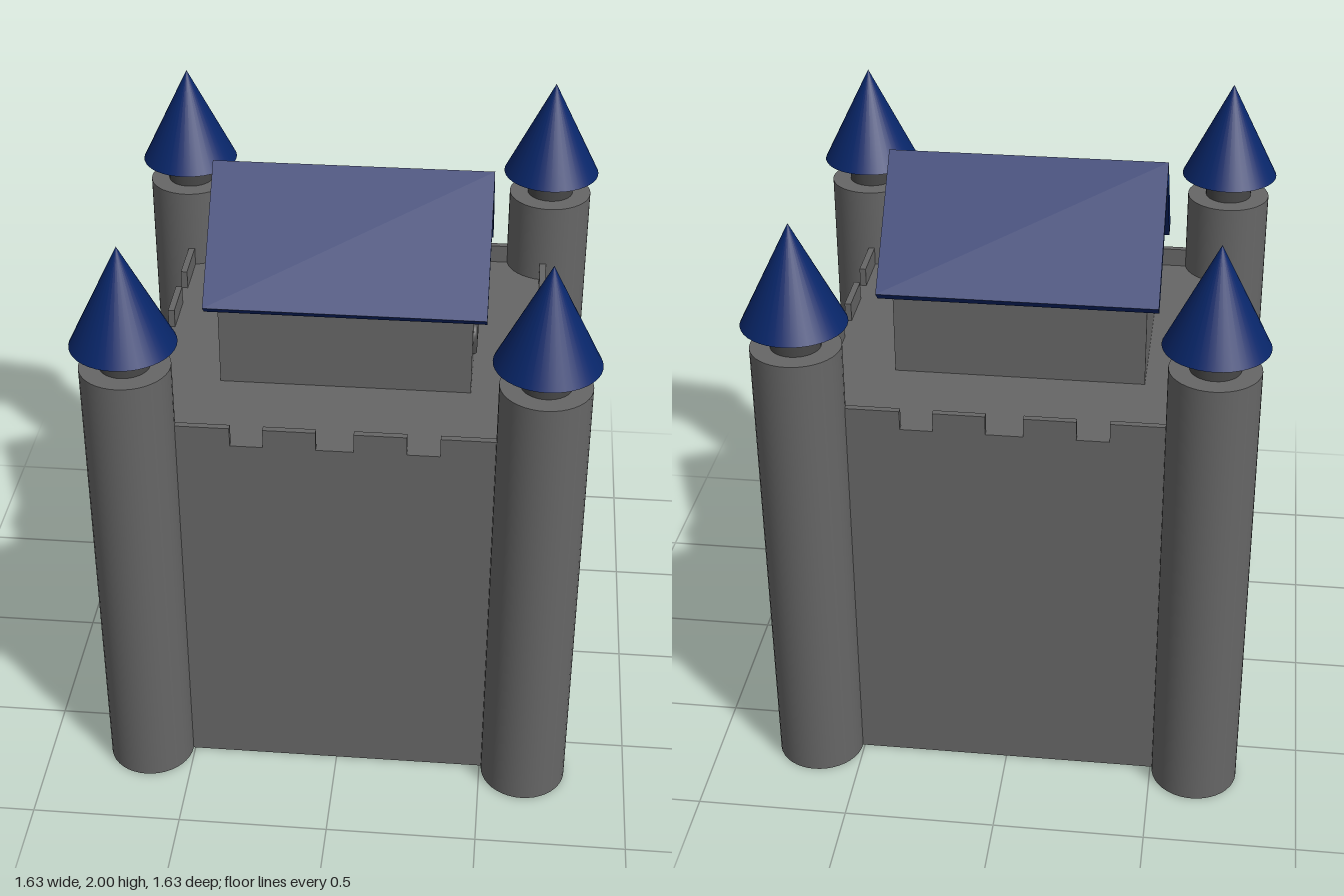
import * as THREE from 'three';

const stone = new THREE.MeshStandardMaterial({ color: 0x666666 });
const darkStone = new THREE.MeshStandardMaterial({ color: 0x474747 });
const roofBlue = new THREE.MeshStandardMaterial({ color: 0x08266a });
const wood = new THREE.MeshStandardMaterial({ color: 0x39230a });
const glass = new THREE.MeshStandardMaterial({ color: 0x464688 });

const HALF = 0.648;   // half width of the keep
const WALL_TOP = 1.3;

function add(parent, name, geometry, material, x = 0, y = 0, z = 0) {
  const mesh = new THREE.Mesh(geometry, material);
  mesh.name = name;
  mesh.position.set(x, y, z);
  parent.add(mesh);
  return mesh;
}

// Extrude a (z, y) outline along +x, starting at x = 0
function extrudeX(shape, depth) {
  const geometry = new THREE.ExtrudeGeometry(shape, { depth, bevelEnabled: false, curveSegments: 16 });
  return geometry.rotateY(Math.PI / 2);
}

function polygon(points) {
  return new THREE.Shape(points.map(([x, y]) => new THREE.Vector2(x, y)));
}

function createTower(x, z) {
  const tower = new THREE.Group();
  tower.name = 'cornerTower';
  tower.position.set(x, 0, z);
  add(tower, 'towerShaft', new THREE.CylinderGeometry(0.144, 0.144, 1.585, 40), stone, 0, 0.7925, 0);
  add(tower, 'towerNeck', new THREE.CylinderGeometry(0.08, 0.08, 0.1, 32), darkStone, 0, 1.625, 0);
  add(tower, 'towerRoof', new THREE.ConeGeometry(0.167, 0.335, 40), roofBlue, 0, 1.8325, 0);
  return tower;
}

// One wall's row of merlons, turned to face its side
function createBattlement(angle) {
  const row = new THREE.Group();
  row.name = 'battlement';
  row.rotation.y = angle;
  for (const [start, end] of [[-0.54, -0.333], [-0.228, -0.06], [0.06, 0.228], [0.333, 0.54]]) {
    add(row, 'merlon', new THREE.BoxGeometry(end - start, 0.075, 0.022), stone,
      (start + end) / 2, WALL_TOP + 0.0275, HALF - 0.011);
  }
  return row;
}

// Thick rounded surround with a round-topped panel inside, facing +x
function createArchway(name, panelName, panelMaterial) {
  const archway = new THREE.Group();
  archway.name = name;

  const panel = new THREE.Shape();
  panel.moveTo(-0.25, 0);
  panel.lineTo(0.25, 0);
  panel.lineTo(0.25, 0.34);
  panel.bezierCurveTo(0.24, 0.46, 0.12, 0.5, 0, 0.5);
  panel.bezierCurveTo(-0.12, 0.5, -0.24, 0.46, -0.25, 0.34);
  panel.closePath();
  add(archway, panelName, extrudeX(panel, 0.012), panelMaterial);

  const half = [[0.312, 0], [0.308, 0.15], [0.287, 0.31], [0.236, 0.44], [0.14, 0.534]];
  const path = [...half, [0, 0.568], ...half.map(([z, y]) => [-z, y]).reverse()]
    .map(([z, y]) => new THREE.Vector3(0, y, z));
  const curve = new THREE.CatmullRomCurve3(path);
  add(archway, 'archSurround', new THREE.TubeGeometry(curve, 64, 0.093, 24), darkStone);
  for (const z of [-0.312, 0.312]) {
    const foot = add(archway, 'archFoot', new THREE.CircleGeometry(0.093, 24), darkStone, 0, 0.001, z);
    foot.rotation.x = Math.PI / 2;
  }
  return archway;
}

function createHall() {
  const hall = new THREE.Group();
  hall.name = 'hall';

  // Gabled body
  const body = polygon([[-0.27, 1.29], [0.27, 1.29], [0.27, 1.61], [0, 1.912], [-0.27, 1.61]]);
  add(hall, 'hallBody', extrudeX(body, 0.831), stone, -0.418);

  // Folded roof with overhanging eaves
  const roof = polygon([
    [0, 1.975], [-0.33, 1.61], [-0.295, 1.578], [0, 1.905], [0.295, 1.578], [0.33, 1.61],
  ]);
  add(hall, 'hallRoof', extrudeX(roof, 0.916), roofBlue, -0.458);

  // Windows on the gate side, small versions of the gate arch
  for (const [y, z] of [[1.645, 0], [1.4, 0.13], [1.4, -0.13]]) {
    const window = createArchway('window', 'windowPane', glass);
    window.scale.setScalar(0.143);
    window.position.set(0.413, y, z);
    hall.add(window);
  }
  return hall;
}

export function createModel() {
  const castle = new THREE.Group();
  castle.name = 'castle';

  add(castle, 'keep', new THREE.BoxGeometry(HALF * 2, WALL_TOP, HALF * 2), stone, 0, WALL_TOP / 2, 0);
  for (const x of [-0.65, 0.65]) {
    for (const z of [-0.65, 0.65]) castle.add(createTower(x, z));
  }
  for (let i = 0; i < 4; i++) castle.add(createBattlement(i * Math.PI / 2));

  const gate = createArchway('gate', 'door', wood);
  gate.position.x = HALF;
  castle.add(gate, createHall());
  return castle;
}
